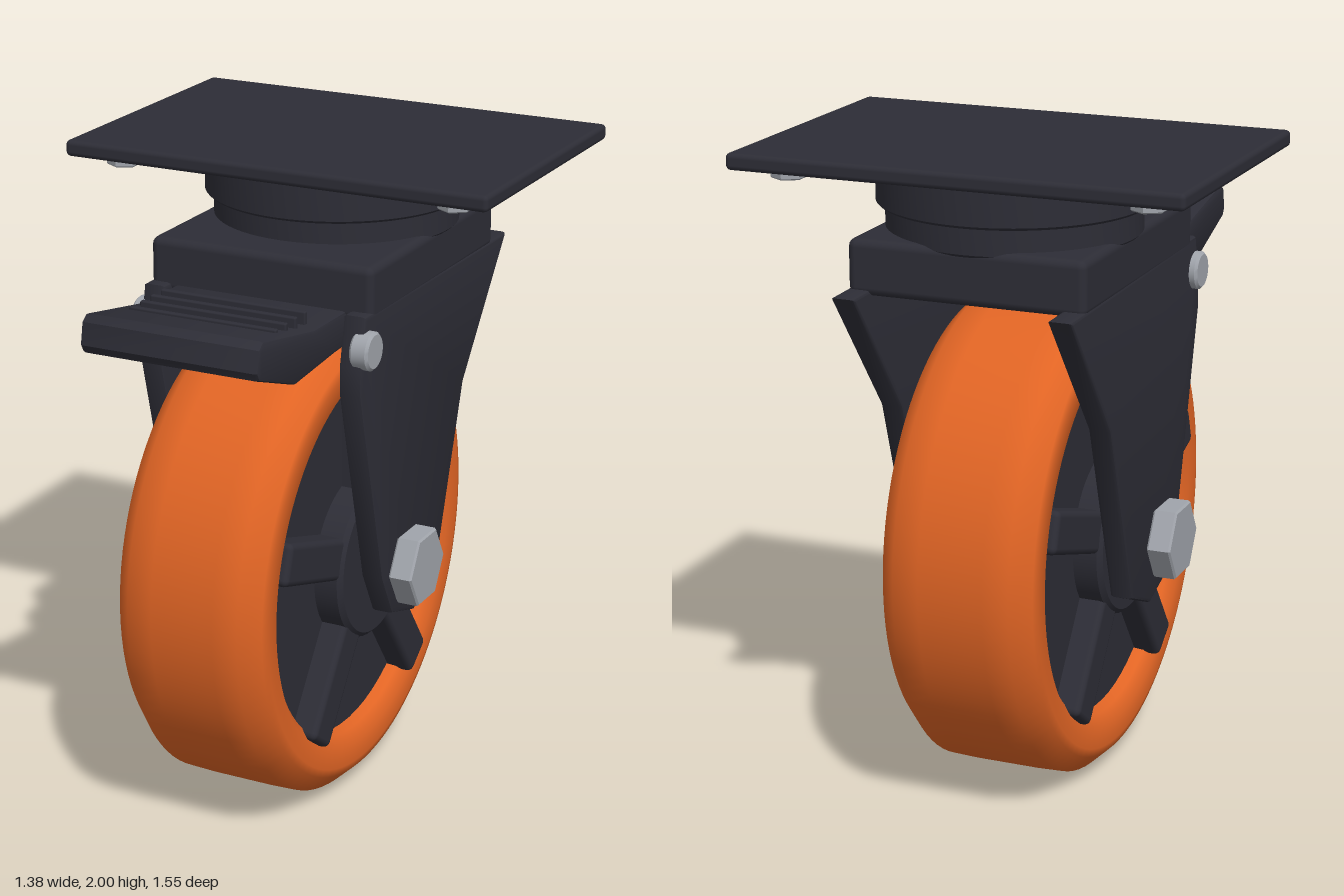
import * as THREE from 'three';
import { toCreasedNormals } from 'three/addons/utils/BufferGeometryUtils.js';
import { RoundedBoxGeometry } from 'three/addons/geometries/RoundedBoxGeometry.js';

export function createModel() {
  const flat = (name, hex) => {
    const m = new THREE.MeshStandardMaterial({ color: hex });
    m.name = name;
    return m;
  };
  const dark = flat('dark metal', 0x2d2d36);
  const orange = flat('orange rubber', 0xe06424);
  const steel = flat('steel', 0xa0a4ab);

  const model = new THREE.Group();
  model.name = 'casterWheel';
  const WY = 0.755, WZ = -0.02; // wheel centre

  function add(name, geo, mat, x = 0, y = 0, z = 0, parent = model) {
    const mesh = new THREE.Mesh(geo, mat);
    mesh.name = name;
    mesh.position.set(x, y, z);
    parent.add(mesh);
    return mesh;
  }
  const box = (w, h, d, r = 0.015) => new RoundedBoxGeometry(w, h, d, 2, r);

  // Solid of revolution with chamfered rims, standing on the y axis
  function disc(r, h, sides, c = 0.01) {
    const pts = [[0, -h / 2], [r - c, -h / 2], [r, -h / 2 + c], [r, h / 2 - c], [r - c, h / 2], [0, h / 2]];
    return toCreasedNormals(new THREE.LatheGeometry(pts.map(p => new THREE.Vector2(...p)), sides), 0.5);
  }
  const axial = (r, w, sides, c) => disc(r, w, sides, c).rotateZ(Math.PI / 2);

  // Side outline given as [z, y], extruded along x and centred
  function sidePlate(points, width, bevel = 0.012) {
    const shape = new THREE.Shape(points.map(p => new THREE.Vector2(...p)));
    const geo = new THREE.ExtrudeGeometry(shape, {
      depth: width - 2 * bevel, bevelEnabled: true, bevelThickness: bevel,
      bevelSize: bevel, bevelOffset: -bevel, bevelSegments: 2
    });
    geo.translate(0, 0, bevel - width / 2).rotateY(-Math.PI / 2);
    return toCreasedNormals(geo, 0.6);
  }

  // Mounting plate with four bolts
  add('mountingPlate', box(1.375, 0.05, 0.925), dark, 0, 1.975, -0.288);
  for (const x of [-0.545, 0.545])
    for (const z of [0.065, -0.63])
      add('plateBolt', disc(0.053, 0.035, 6, 0.004), steel, x, 1.936, z);

  // Swivel bearing
  add('bearingUpper', disc(0.402, 0.125, 64, 0.008), dark, 0, 1.891, -0.278);
  add('bearingLower', disc(0.375, 0.1, 64, 0.008), dark, 0, 1.79, -0.278);

  // Yoke block and fork legs
  add('yokeBlock', box(0.728, 0.165, 0.88, 0.025), dark, 0, 1.678, -0.205);
  const leg = [
    [0.275, 1.627], [-0.75, 1.612], [-0.44, 1.21], [-0.255, 0.635], [-0.095, 0.568],
    [0.065, 0.62], [0.14, 0.76], [0.305, 1.395], [0.305, 1.48]
  ];
  for (const s of [-1, 1]) {
    add('forkLeg', sidePlate(leg.slice().reverse(), 0.072), dark, s * 0.329);
    add('axleBolt', axial(0.123, 0.075, 6, 0.006), steel, s * 0.403, WY, WZ);
    add('brakePin', axial(0.058, 0.06, 32, 0.008), steel, s * 0.36, 1.525, 0.262);
  }

  // Brake pedal with grip ridges
  const pedal = [
    [0.1, 1.52], [0.3, 1.515], [0.55, 1.497], [0.768, 1.575], [0.782, 1.6],
    [0.77, 1.665], [0.745, 1.684], [0.43, 1.625], [0.1, 1.62]
  ];
  add('brakePedal', sidePlate(pedal, 0.565), dark);
  for (let i = 0; i < 4; i++)
    add('pedalRidge', box(0.47, 0.045, 0.018, 0.005), dark, 0, 1.64, 0.395 + i * 0.06);

  // Wheel
  const wheel = new THREE.Group();
  wheel.name = 'wheel';
  wheel.position.set(0, WY, WZ);
  model.add(wheel);

  const half = [[0.75, 0], [0.75, 0.1], [0.747, 0.18], [0.695, 0.235], [0.67, 0.242], [0.61, 0.238], [0.575, 0.21], [0.565, 0.15]];
  const tread = [
    ...half.slice(1).reverse().map(([r, x]) => new THREE.Vector2(r, -x)),
    ...half.map(([r, x]) => new THREE.Vector2(r, x))
  ];
  add('tire', new THREE.LatheGeometry(tread, 96).rotateZ(Math.PI / 2), orange, 0, 0, 0, wheel);
  add('wheelDisc', axial(0.574, 0.36, 64), dark, 0, 0, 0, wheel);
  add('hub', axial(0.25, 0.54, 48, 0.015), dark, 0, 0, 0, wheel);
  add('axle', axial(0.09, 0.7, 32), steel, 0, 0, 0, wheel);

  // Five spokes reaching through both faces
  for (let i = 0; i < 5; i++) {
    const geo = box(0.52, 0.45, 0.13, 0.02).translate(0, 0.375, 0);
    const spoke = add('spoke', geo, dark, 0, 0, 0, wheel);
    spoke.rotation.x = i * Math.PI * 2 / 5;
  }
  return model;
}
